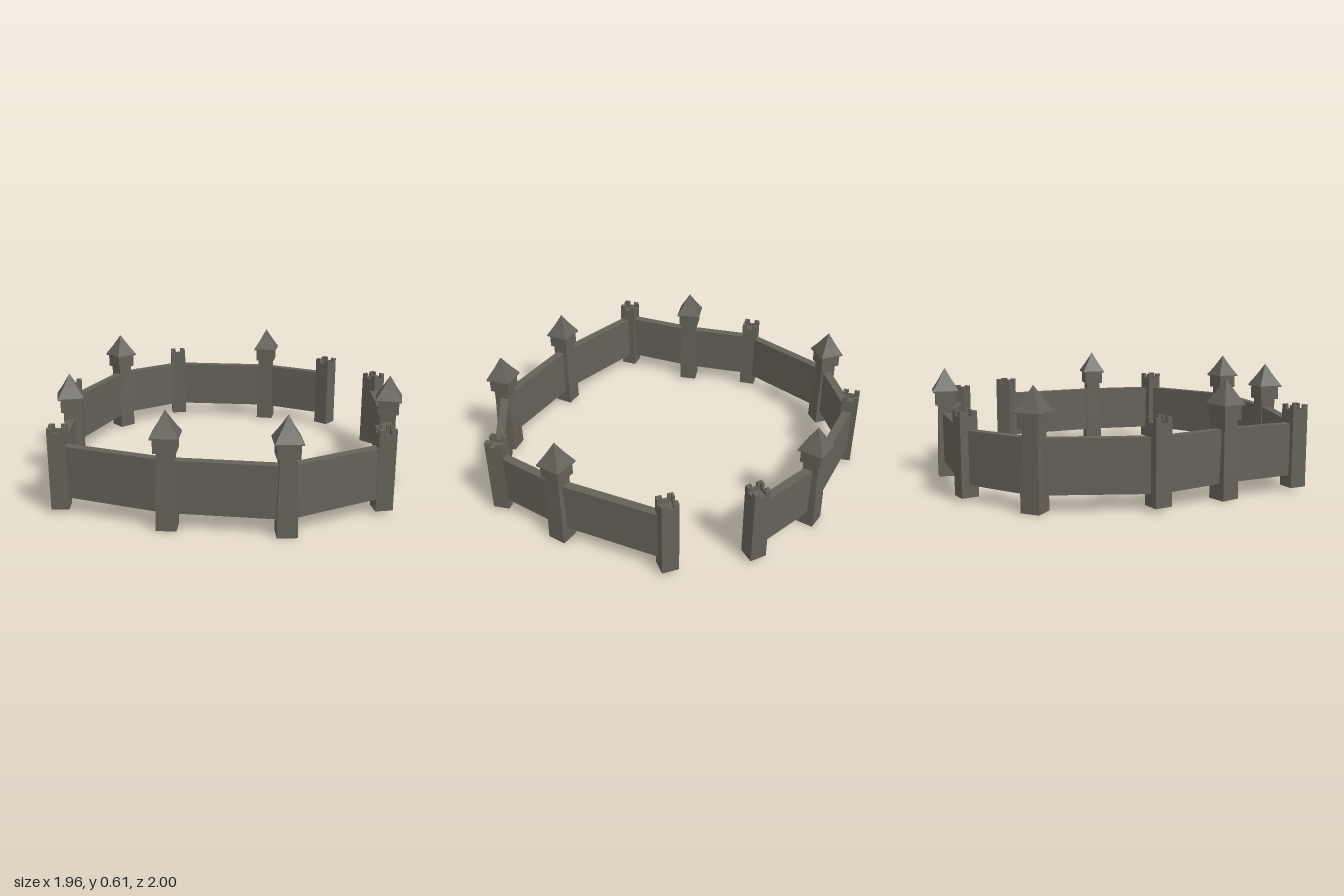
import * as THREE from 'three';

const stone = new THREE.MeshStandardMaterial({ color: 0x656157 });
stone.name = 'weathered stone';
const roofTile = new THREE.MeshStandardMaterial({ color: 0x65625a });
roofTile.name = 'grey roof';

// Tower ring in order: x, z, turn in degrees, roofed or battlemented
const TOWERS = [
  [0.59, -0.77, -36, false],
  [0.19, -0.925, -7, true],
  [-0.415, -0.93, 12, false],
  [-0.755, -0.67, -44, true],
  [-0.93, -0.105, 11, false],
  [-0.84, 0.295, 16, true],
  [-0.8, 0.725, 6, false],
  [-0.225, 0.885, 0, true],
  [0.36, 0.915, 8, true],
  [0.845, 0.61, 13, false],
  [0.9, 0.195, -7, true],
  [0.87, -0.415, -43, false],
];

function addMesh(parent, name, geometry, material) {
  const mesh = new THREE.Mesh(geometry, material);
  mesh.name = name;
  parent.add(mesh);
  return mesh;
}

// Four-sided solid from [half width, height] pairs, with flat faces
function squareSolid(profile) {
  const points = profile.map(([h, y]) => new THREE.Vector2(h * Math.SQRT2, y));
  const geometry = new THREE.LatheGeometry(points, 4).rotateY(Math.PI / 4).toNonIndexed();
  geometry.computeVertexNormals();
  return geometry;
}

// Upright prism on a plan outline
function prism(outline, y0, y1, hole) {
  const toPoints = (list) => list.map(([x, z]) => new THREE.Vector2(x, z));
  const shape = new THREE.Shape(toPoints(outline));
  if (hole) shape.holes.push(new THREE.Path(toPoints(hole)));
  return new THREE.ExtrudeGeometry(shape, { depth: y1 - y0, bevelEnabled: false })
    .rotateX(-Math.PI / 2)
    .translate(0, y0, 0);
}

const square = (h) => [[-h, -h], [h, -h], [h, h], [-h, h]];

function roofedTower() {
  const tower = new THREE.Group();
  tower.name = 'roofedTower';
  addMesh(tower, 'towerShaft', squareSolid([
    [0, 0], [0.051, 0], [0.05, 0.16], [0.043, 0.33], [0.043, 0.41], [0, 0.41],
  ]), stone);
  addMesh(tower, 'towerHead', squareSolid([
    [0, 0.405], [0.057, 0.405], [0.057, 0.482], [0, 0.482],
  ]), stone);
  // Flared pyramid roof
  addMesh(tower, 'towerRoof', squareSolid([
    [0, 0.478], [0.07, 0.478], [0.07, 0.485], [0.037, 0.54], [0, 0.61],
  ]), roofTile);
  return tower;
}

function battlementTower() {
  const tower = new THREE.Group();
  tower.name = 'battlementTower';
  const h = 0.046, inner = 0.032, arm = 0.016;
  addMesh(tower, 'towerShaft', new THREE.BoxGeometry(h * 2, 0.39, h * 2).translate(0, 0.215, 0), stone);
  addMesh(tower, 'parapet', prism(square(h), 0.41, 0.43, square(inner)), stone);
  // L-shaped merlon on each corner
  const corner = [[h, h], [arm, h], [arm, inner], [inner, inner], [inner, arm], [h, arm]];
  for (let i = 0; i < 4; i++) {
    const merlon = addMesh(tower, 'merlon', prism(corner, 0.43, 0.455), stone);
    merlon.rotation.y = i * Math.PI / 2;
  }
  return tower;
}

export function createModel() {
  const model = new THREE.Group();
  model.name = 'ringWall';

  TOWERS.forEach(([x, z, turn, roofed]) => {
    const tower = roofed ? roofedTower() : battlementTower();
    tower.position.set(x, 0, z);
    tower.rotation.y = THREE.MathUtils.degToRad(turn);
    model.add(tower);
  });

  // Straight wall between neighbours; the gap after the last tower is the gateway
  for (let i = 0; i < TOWERS.length - 1; i++) {
    const [x0, z0] = TOWERS[i];
    const [x1, z1] = TOWERS[i + 1];
    const length = Math.hypot(x1 - x0, z1 - z0);
    const wall = addMesh(model, 'wall', new THREE.BoxGeometry(length, 0.275, 0.048), stone);
    wall.position.set((x0 + x1) / 2, 0.2225, (z0 + z1) / 2);
    wall.rotation.y = -Math.atan2(z1 - z0, x1 - x0);
  }
  return model;
}
